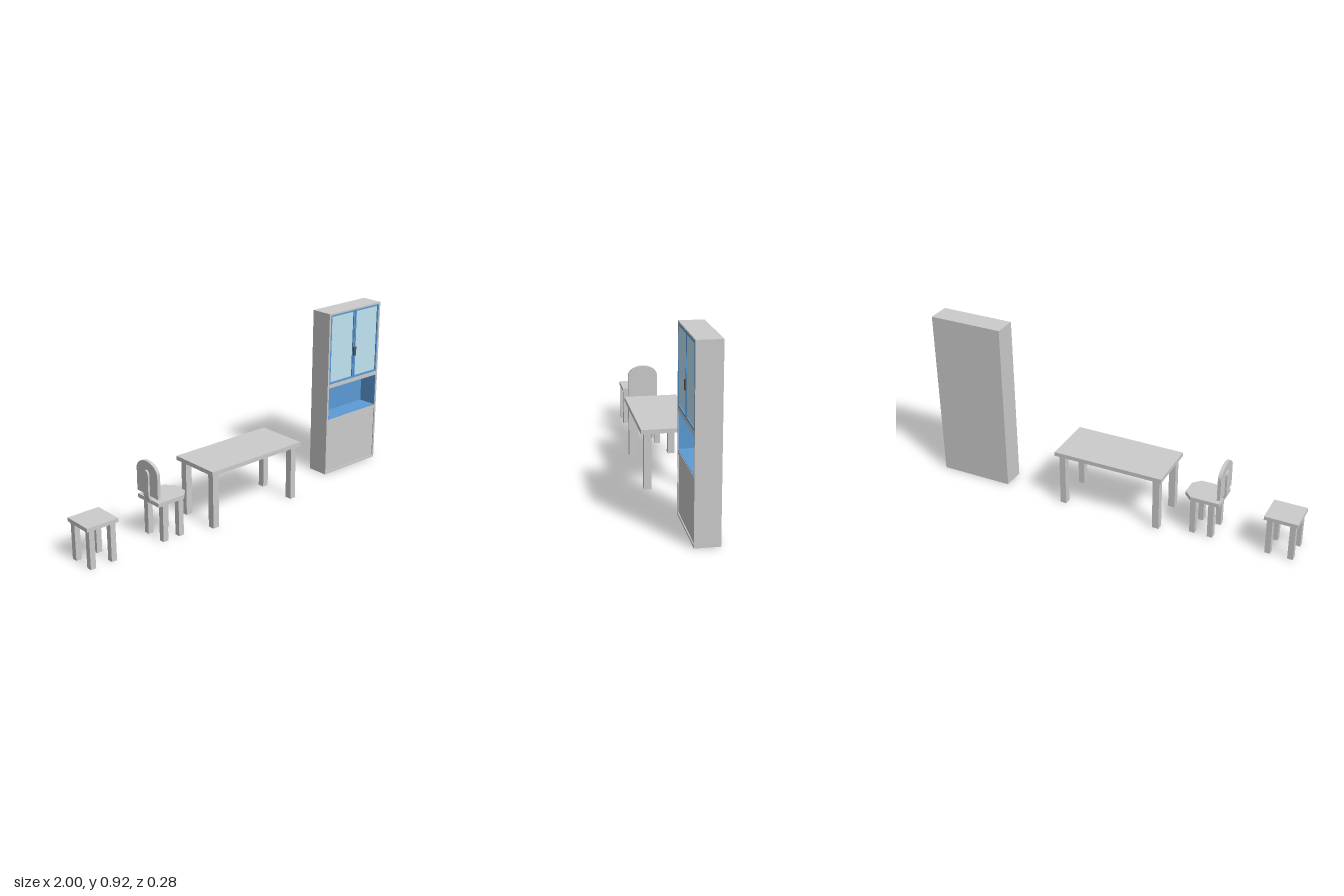
import * as THREE from 'three';

const grey = new THREE.MeshStandardMaterial({ color: 0xcccccc });
const blue = new THREE.MeshStandardMaterial({ color: 0x5b9bd5 });
const glass = new THREE.MeshStandardMaterial({ color: 0xbfe4f2 });
const dark = new THREE.MeshStandardMaterial({ color: 0x555555 });

// Box given by its limits on each axis
function box(name, [x0, x1], [y0, y1], [z0, z1], material = grey) {
  const mesh = new THREE.Mesh(new THREE.BoxGeometry(x1 - x0, y1 - y0, z1 - z0), material);
  mesh.position.set((x0 + x1) / 2, (y0 + y1) / 2, (z0 + z1) / 2);
  mesh.name = name;
  return mesh;
}

function rect(path, x0, x1, y0, y1) {
  path.moveTo(x0, y0).lineTo(x1, y0).lineTo(x1, y1).lineTo(x0, y1).closePath();
  return path;
}

// Flat frame with rectangular openings, extruded along z
function frame(name, outer, holes, z0, z1, material) {
  const shape = rect(new THREE.Shape(), ...outer);
  for (const h of holes) shape.holes.push(rect(new THREE.Path(), ...h));
  const geo = new THREE.ExtrudeGeometry(shape, { depth: z1 - z0, bevelEnabled: false });
  const mesh = new THREE.Mesh(geo, material);
  mesh.position.z = z0;
  mesh.name = name;
  return mesh;
}

// Four square legs: x ranges of both pairs, inner and outer z
function addLegs(group, xRanges, zIn, zOut, top) {
  for (const xr of xRanges) {
    group.add(box('frontLeg', xr, [0, top], [zIn, zOut]));
    group.add(box('backLeg', xr, [0, top], [-zOut, -zIn]));
  }
}

function makeStool() {
  const g = new THREE.Group();
  g.name = 'stool';
  g.add(box('stoolSeat', [-1, -0.828], [0.195, 0.215], [-0.081, 0.079]));
  addLegs(g, [[-0.989, -0.96], [-0.872, -0.843]], 0.045, 0.075, 0.195);
  return g;
}

function makeTable() {
  const g = new THREE.Group();
  g.name = 'table';
  g.add(box('tableTop', [-0.31, 0.285], [0.292, 0.314], [-0.141, 0.14]));
  addLegs(g, [[-0.294, -0.258], [0.235, 0.268]], 0.087, 0.123, 0.292);
  return g;
}

function makeChair() {
  const g = new THREE.Group();
  g.name = 'chair';

  // Seat with cut front corners; drawn in x and z, then laid flat
  const seat = new THREE.Shape([
    [-0.597, -0.081], [-0.443, -0.081], [-0.404, -0.042],
    [-0.404, 0.042], [-0.443, 0.081], [-0.597, 0.081],
  ].map(([x, z]) => new THREE.Vector2(x, z)));
  const seatMesh = new THREE.Mesh(
    new THREE.ExtrudeGeometry(seat, { depth: 0.02, bevelEnabled: false }), grey);
  seatMesh.rotation.x = -Math.PI / 2;
  seatMesh.position.y = 0.195;
  seatMesh.name = 'chairSeat';
  g.add(seatMesh);
  addLegs(g, [[-0.568, -0.539], [-0.472, -0.443]], 0.045, 0.075, 0.195);

  // Upright plate with a rounded top, facing +x
  function plate(name, half, y0, y1, y2, x0, x1) {
    const s = new THREE.Shape();
    s.moveTo(-half, y0).lineTo(half, y0).lineTo(half, y1);
    s.absellipse(0, y1, half, y2 - y1, 0, Math.PI, false, 0);
    s.closePath();
    const mesh = new THREE.Mesh(new THREE.ExtrudeGeometry(
      s, { depth: x1 - x0, bevelEnabled: false, curveSegments: 10 }), grey);
    mesh.rotation.y = Math.PI / 2;
    mesh.position.x = x0;
    mesh.name = name;
    g.add(mesh);
  }
  plate('backrest', 0.081, 0.236, 0.355, 0.41, -0.6, -0.583);
  plate('backSupport', 0.02, 0.236, 0.345, 0.366, -0.61, -0.6);

  // Bent lower end of the support, joining the seat
  const bend = new THREE.Shape([
    [-0.61, 0.236], [-0.594, 0.197], [-0.58, 0.197], [-0.58, 0.207], [-0.59, 0.215], [-0.6, 0.236],
  ].map(([x, y]) => new THREE.Vector2(x, y)));
  const bendMesh = new THREE.Mesh(
    new THREE.ExtrudeGeometry(bend, { depth: 0.04, bevelEnabled: false }), grey);
  bendMesh.position.z = -0.02;
  bendMesh.name = 'supportBend';
  g.add(bendMesh);
  return g;
}

function makeCabinet() {
  const g = new THREE.Group();
  g.name = 'cabinet';
  const [x0, x1] = [0.614, 0.989];
  const upper = [x0, x1, 0.522, 0.906];
  const niche = [x0, x1, 0.32, 0.5];
  const lower = [x0, x1, 0.012, 0.3];

  // Carcass, open at the front
  g.add(frame('carcass', [0.603, 1, 0, 0.915], [upper, niche, lower], -0.09, 0.02, grey));
  g.add(box('backPanel', [0.603, 1], [0, 0.915], [-0.1, -0.09]));
  g.add(box('lowerPanel', [x0, x1], [0.012, 0.3], [-0.09, 0.015]));

  // Blue lining of the open shelf
  const t = 0.003;
  g.add(frame('shelfLining', niche, [[x0 + t, x1 - t, 0.32 + t, 0.5 - t]], -0.085, 0.018, blue));
  g.add(box('shelfBack', [x0, x1], [0.32, 0.5], [-0.09, -0.085], blue));

  // Pair of glazed doors with a handle in the middle
  for (const [a, b] of [[x0, 0.8], [0.803, x1]]) {
    const pane = [a + 0.009, b - 0.009, 0.532, 0.897];
    g.add(frame('doorFrame', [a, b, 0.522, 0.906], [pane], 0.005, 0.02, blue));
    g.add(box('doorGlass', pane.slice(0, 2), pane.slice(2), [0.006, 0.014], glass));
  }
  g.add(box('doorHandle', [0.793, 0.811], [0.65, 0.698], [0.018, 0.027], dark));
  return g;
}

export function createModel() {
  const model = new THREE.Group();
  model.name = 'furnitureSet';
  model.add(makeStool(), makeChair(), makeTable(), makeCabinet());
  return model;
}
